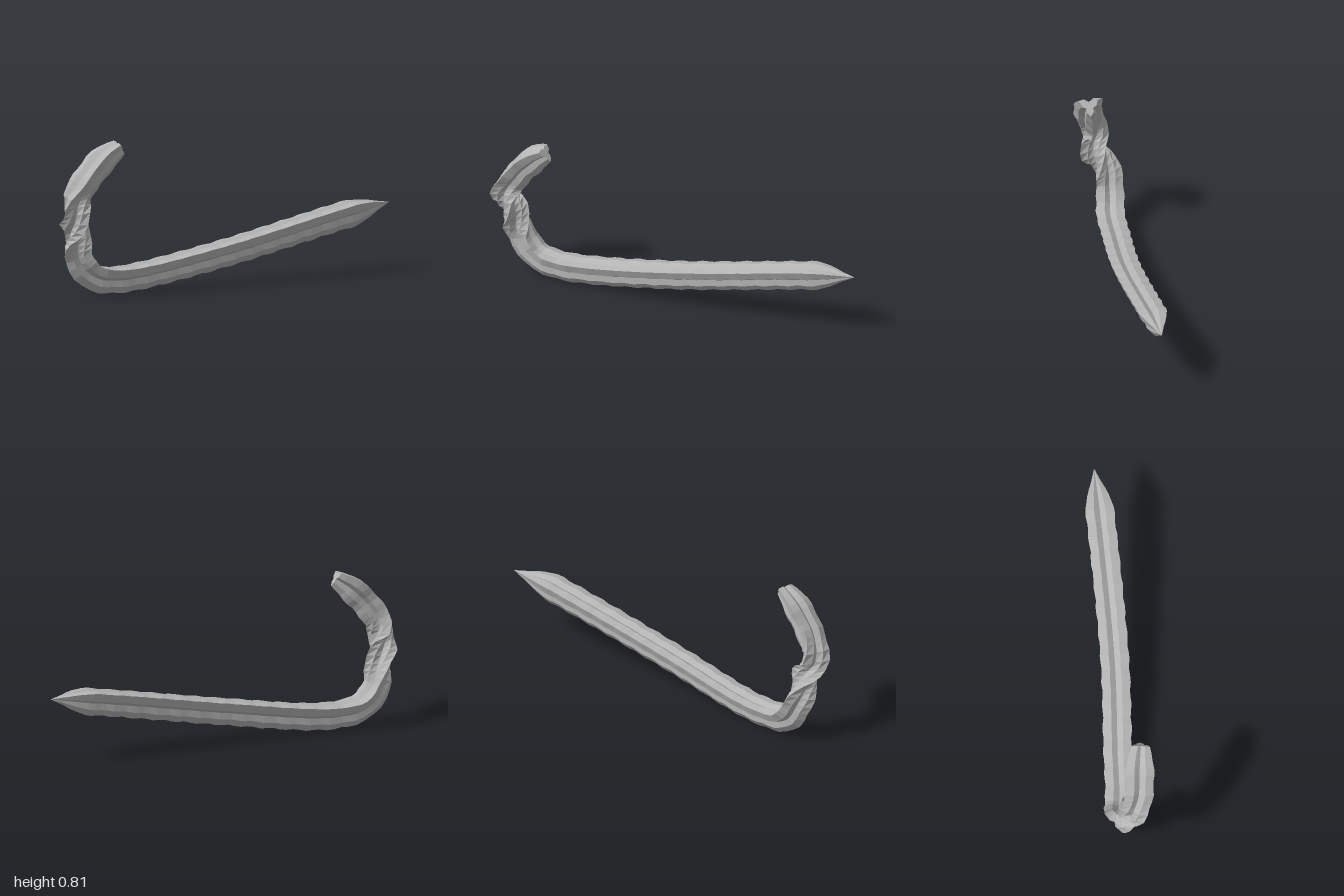
import * as THREE from 'three';

const SIDES = 12, RINGS = 72;

// Centre line, from the pointed tail to the blunt raised end
const path = new THREE.CatmullRomCurve3([
  [0.10, 0.355, -1], [0.09, 0.332, -0.8], [0.03, 0.18, 0], [-0.042, 0.097, 0.5],
  [-0.06, 0.09, 0.65], [-0.078, 0.108, 0.76], [-0.092, 0.165, 0.83], [-0.093, 0.25, 0.87],
  [-0.072, 0.33, 0.888], [-0.03, 0.43, 0.915], [-0.03, 0.51, 0.925],
  [0, 0.62, 0.868], [0.022, 0.73, 0.77], [0.045, 0.785, 0.69],
].map(p => new THREE.Vector3(...p)), false, 'centripetal');
path.arcLengthDivisions = 600;

// Three-lobed section: ridge, shoulder, groove, shoulder
const lobes = [0.085, 0.058, 0.032, 0.058];

function buildStalk() {
  const total = path.getLength(), positions = [], index = [];
  for (let i = 0; i <= RINGS; i++) {
    const u = i / RINGS, c = path.getPointAt(u), t = path.getTangentAt(u);
    const side = new THREE.Vector3(1, 0, 0).addScaledVector(t, -t.x).normalize();
    const out = side.clone().cross(t);

    // Half turn in the upright part
    const twist = c.z > 0.6 ? Math.PI * THREE.MathUtils.smoothstep(c.y, 0.2, 0.6) : 0;

    // Pointed tail, narrowed top and regular swellings
    const fromTail = u * total, fromTop = total - fromTail;
    const taper = Math.min(1, fromTail / 0.2) * Math.min(1, 0.6 + 0.4 * fromTop / 0.09);
    const swell = 1 + 0.045 * Math.cos(fromTail * Math.PI * 2 / 0.125);
    for (let j = 0; j < SIDES; j++) {
      const a = j / SIDES * Math.PI * 2 + twist;
      const r = lobes[j % 4] * taper * swell;
      const p = c.clone().addScaledVector(out, Math.cos(a) * r).addScaledVector(side, Math.sin(a) * r);
      positions.push(p.x, Math.max(0, p.y), p.z);
    }
  }
  for (let i = 0; i < RINGS; i++) for (let j = 0; j < SIDES; j++) {
    const a = i * SIDES + j, b = i * SIDES + (j + 1) % SIDES;
    index.push(a, b, b + SIDES, a, b + SIDES, a + SIDES);
  }

  // Cap on the raised end
  const end = path.getPointAt(1), centre = positions.length / 3;
  positions.push(end.x, end.y, end.z);
  for (let j = 0; j < SIDES; j++) {
    index.push(RINGS * SIDES + j, RINGS * SIDES + (j + 1) % SIDES, centre);
  }
  const g = new THREE.BufferGeometry();
  g.setAttribute('position', new THREE.Float32BufferAttribute(positions, 3));
  g.setIndex(index);
  const flat = g.toNonIndexed();
  flat.computeVertexNormals();
  return flat;
}

export function createModel() {
  const group = new THREE.Group();
  group.name = 'twistedStalk';
  const grey = new THREE.MeshStandardMaterial({ color: 0xb4b4b4, flatShading: true });
  grey.name = 'grey';
  const stalk = new THREE.Mesh(buildStalk(), grey);
  stalk.name = 'stalk';
  group.add(stalk);
  return group;
}
